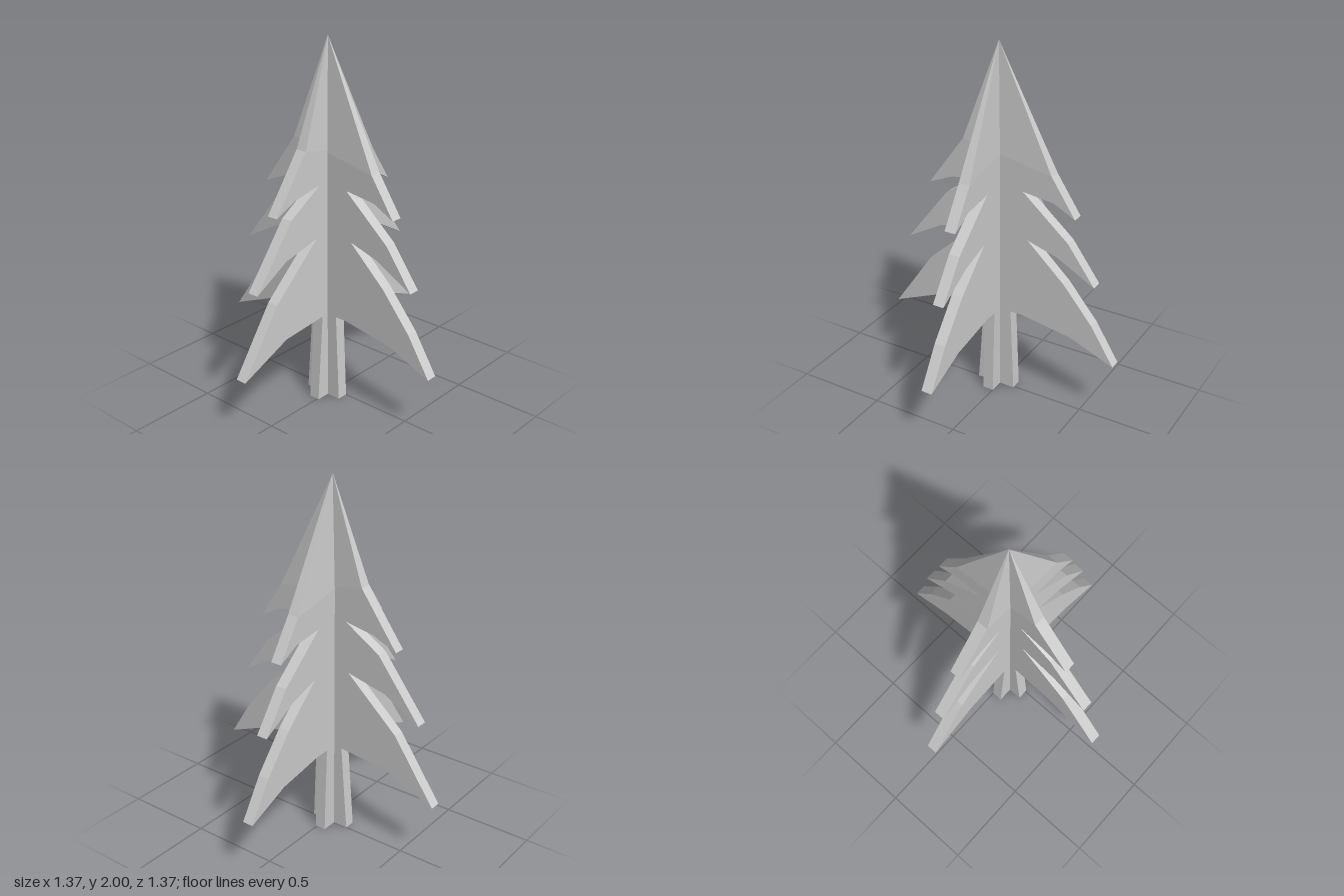
import * as THREE from 'three';

// Tree outline, counter-clockwise, from the left shoulder down, round the trunk and up to the right shoulder
const OUTLINE = [
  // left branches, top to bottom
  [-0.221, 1.453], [-0.435, 1.157], [-0.297, 1.217], [-0.123, 1.249],
  [-0.332, 1.117], [-0.583, 0.79], [-0.371, 0.91], [-0.144, 0.963],
  [-0.445, 0.69], [-0.686, 0.342], [-0.382, 0.47], [-0.102, 0.496],
  // trunk
  [-0.139, 0], [0.088, 0], [0.067, 0.496],
  // right branches, bottom to top
  [0.141, 0.496], [0.431, 0.448], [0.685, 0.345], [0.553, 0.557], [0.384, 0.759],
  [0.167, 0.96], [0.342, 0.907], [0.558, 0.788], [0.402, 1.003],
  [0.136, 1.233], [0.315, 1.21], [0.437, 1.146], [0.3, 1.353],
];
const HALF = 0.031; // half the panel thickness

// Slab with the tree outline whose top sharpens to a single point
function panelGeometry(apexZ) {
  const pos = [];
  const tri = (...corners) => corners.forEach((c) => pos.push(...c));
  const front = OUTLINE.map(([x, y]) => [x, y, HALF]);
  const back = OUTLINE.map(([x, y]) => [x, y, -HALF]);
  const apex = [-0.022, 2, apexZ];
  const last = OUTLINE.length - 1;

  // broad faces
  const contour = OUTLINE.map(([x, y]) => new THREE.Vector2(x, y));
  for (const [a, b, c] of THREE.ShapeUtils.triangulateShape(contour, [])) {
    tri(front[a], front[b], front[c]);
    tri(back[c], back[b], back[a]);
  }
  // rim
  for (let i = 0; i < last; i++) {
    tri(front[i], back[i], back[i + 1]);
    tri(front[i], back[i + 1], front[i + 1]);
  }
  // pointed tip
  tri(front[0], front[last], apex);
  tri(back[last], back[0], apex);
  tri(front[last], back[last], apex);
  tri(back[0], front[0], apex);

  const geometry = new THREE.BufferGeometry();
  geometry.setAttribute('position', new THREE.Float32BufferAttribute(pos, 3));
  geometry.computeVertexNormals();
  return geometry;
}

export function createModel() {
  const grey = new THREE.MeshStandardMaterial({ color: 0xcccccc });
  grey.name = 'plain grey';
  const tree = new THREE.Group();
  tree.name = 'tree';

  // panel spreading left and right
  const sidePanel = new THREE.Mesh(panelGeometry(0.002), grey);
  sidePanel.name = 'sideToSidePanel';
  sidePanel.position.z = -0.023;

  // same panel turned to spread front and back
  const depthPanel = new THREE.Mesh(panelGeometry(-0.008), grey);
  depthPanel.name = 'frontToBackPanel';
  depthPanel.rotation.y = -Math.PI / 2;
  depthPanel.position.x = -0.03;

  tree.add(sidePanel, depthPanel);
  return tree;
}
